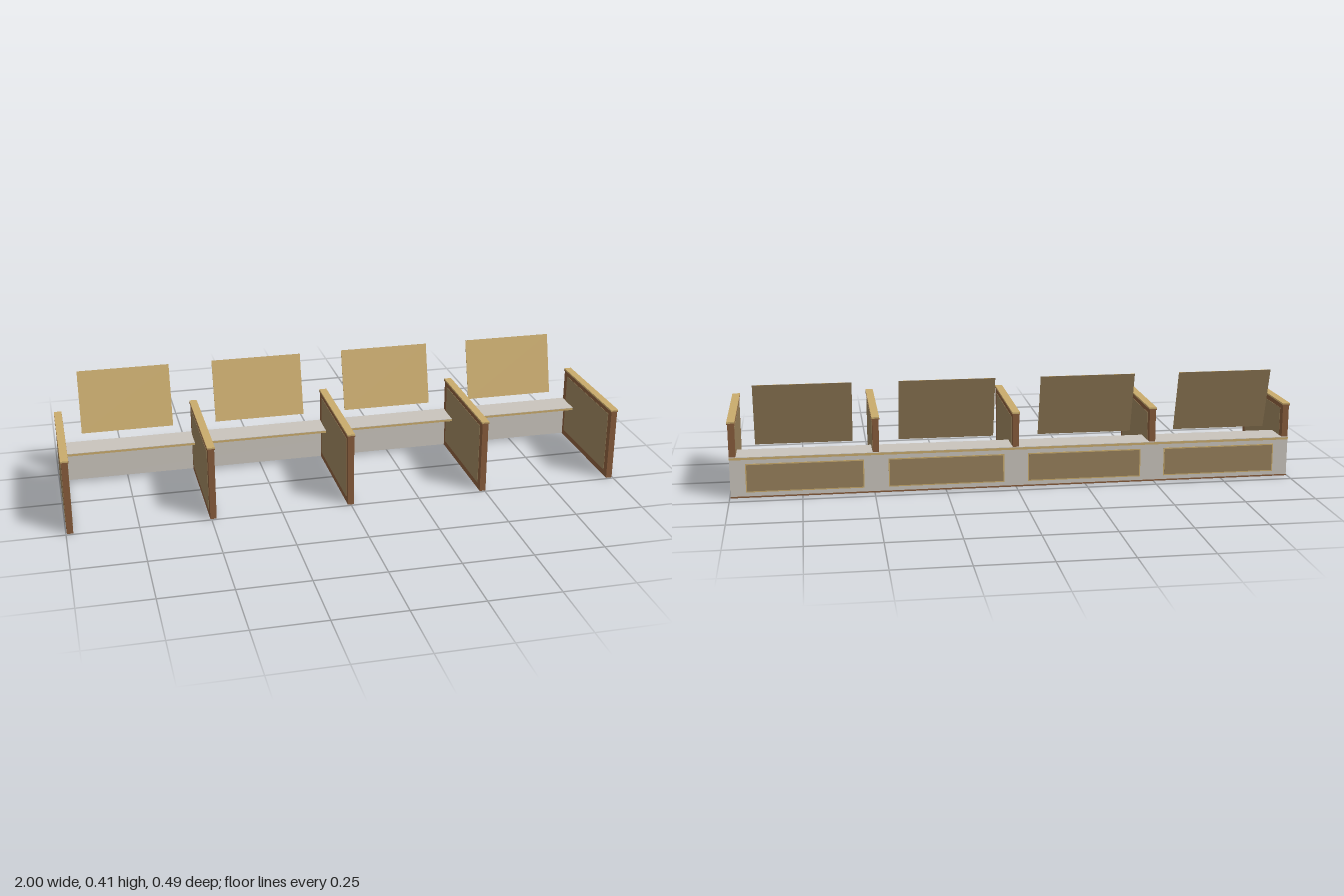
import * as THREE from 'three';

const mat = (name, color) => {
  const m = new THREE.MeshStandardMaterial({ color });
  m.name = name;
  return m;
};

export function createModel() {
  const root = new THREE.Group();
  root.name = 'boothRow';
  const tan = mat('light oak', 0xc8aa6c);
  const darkTan = mat('dark oak', 0x967f5a);
  const brown = mat('brown wood', 0x855a3a);
  const grey = mat('warm grey', 0xc8c3bb);

  // box given by its min and max on each axis
  const box = (parent, name, m, x0, x1, y0, y1, z0, z1) => {
    const mesh = new THREE.Mesh(new THREE.BoxGeometry(x1 - x0, y1 - y0, z1 - z0), m);
    mesh.position.set((x0 + x1) / 2, (y0 + y1) / 2, (z0 + z1) / 2);
    mesh.name = name;
    parent.add(mesh);
    return mesh;
  };

  // dividers: framed slab, side panels and cap rail
  const pitch = 0.493;
  for (let i = -2; i <= 2; i++) {
    const g = new THREE.Group();
    g.name = 'divider';
    g.position.x = i * pitch;
    box(g, 'dividerFrame', brown, -0.011, 0.011, 0, 0.262, -0.203, 0.243);
    for (const s of [-1, 1]) {
      const a = s * 0.0105, b = s * 0.0122;
      box(g, 'dividerPanel', darkTan, Math.min(a, b), Math.max(a, b), 0.022, 0.247, -0.175, 0.217);
    }
    box(g, 'capLower', brown, -0.014, 0.014, 0.262, 0.2655, -0.205, 0.245);
    box(g, 'capTop', tan, -0.0135, 0.0135, 0.2655, 0.271, -0.205, 0.245);
    root.add(g);
  }

  // back wall and its foot strip
  const end = 2 * pitch + 0.011;
  box(root, 'backWall', grey, -end, end, 0.001, 0.137, -0.2045, -0.192);
  box(root, 'footStrip', brown, -end, end, 0, 0.005, -0.206, -0.2);

  // four bays: shelf, back panel with trim, tilted screen
  for (let i = 0; i < 4; i++) {
    const bay = new THREE.Group();
    bay.name = 'bay';
    bay.position.x = (i - 1.5) * pitch;
    const half = pitch / 2 - 0.011;
    box(bay, 'shelfEdge', tan, -half, half, 0.136, 0.144, -0.2, -0.1);
    box(bay, 'shelfTop', grey, -half, half, 0.144, 0.1455, -0.2, -0.1);
    box(bay, 'panelTrim', tan, -0.204, 0.204, 0.019, 0.121, -0.2058, -0.204);
    box(bay, 'backPanel', darkTan, -0.2, 0.2, 0.023, 0.117, -0.2066, -0.205);

    // thin screen, light in front and dark behind
    const screen = new THREE.Group();
    screen.name = 'screen';
    box(screen, 'screenFront', tan, -0.167, 0.167, -0.114, 0.114, 0, 0.0008);
    box(screen, 'screenBack', darkTan, -0.167, 0.167, -0.114, 0.114, -0.0008, 0);
    screen.position.set(0, 0.295, -0.2155);
    screen.rotation.x = -0.263;
    bay.add(screen);
    root.add(bay);
  }

  // ledge running behind the dividers
  box(root, 'rearLedgeEdge', tan, -end, end, 0.136, 0.144, -0.2075, -0.2);
  box(root, 'rearLedgeTop', grey, -end, end, 0.144, 0.1455, -0.2075, -0.2);

  return root;
}
